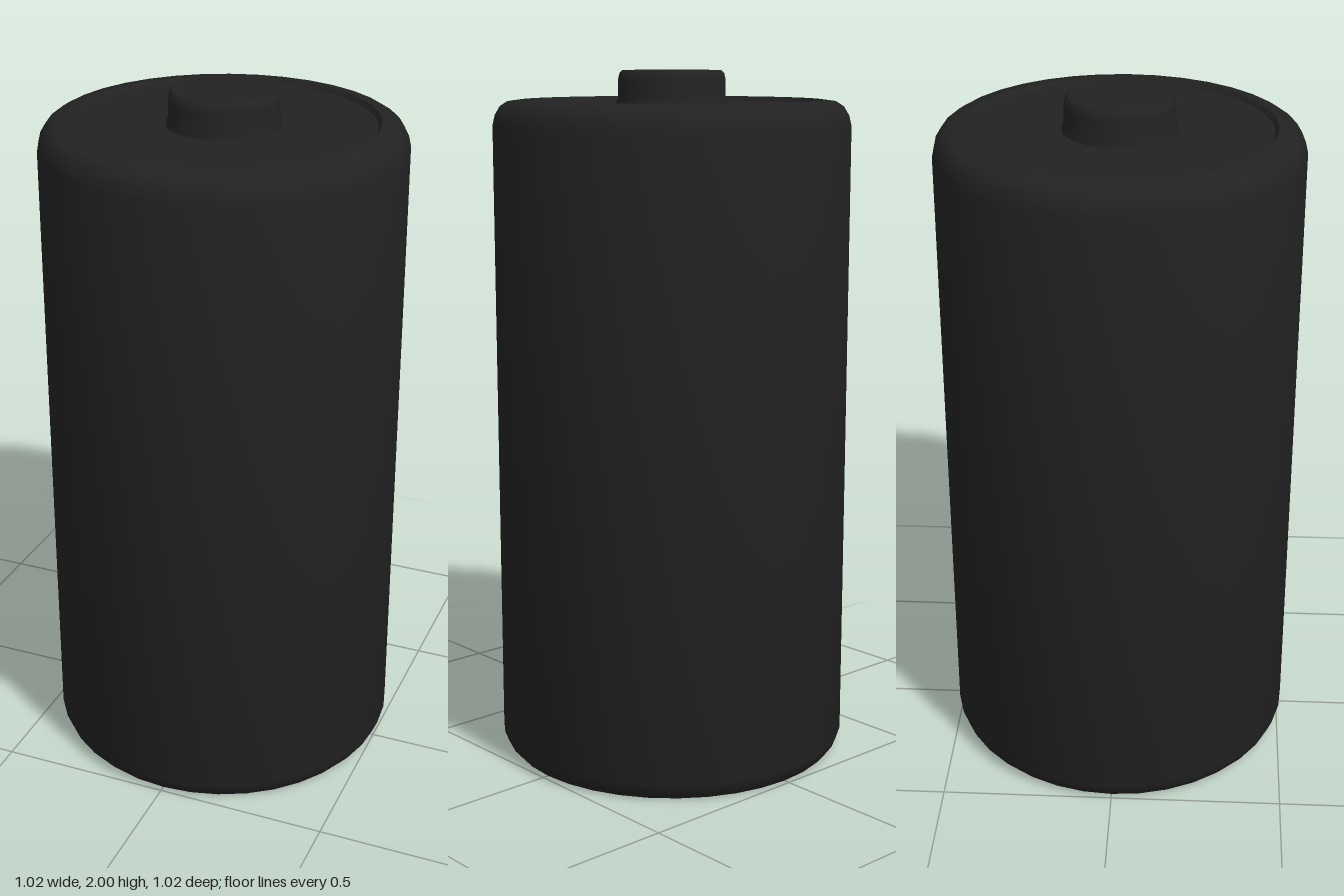
import * as THREE from 'three';
import { toCreasedNormals } from 'three/addons/utils/BufferGeometryUtils.js';

const SIDES = 36;

// Turned part from [radius, height] pairs, with hard edges kept sharp
function turned(name, profile, material) {
  const points = profile.map(([r, y]) => new THREE.Vector2(r, y));
  const geometry = toCreasedNormals(new THREE.LatheGeometry(points, SIDES), 0.6);
  const mesh = new THREE.Mesh(geometry, material);
  mesh.name = name;
  return mesh;
}

export function createModel() {
  const model = new THREE.Group();
  model.name = 'batteryCell';
  const black = new THREE.MeshStandardMaterial({ color: 0x222222 });
  black.name = 'matteBlack';

  // Casing: flat base, small bottom bevel, rounded shoulder and a lip around the recess
  model.add(turned('casing', [
    [0, 0], [0.482, 0], [0.5, 0.02], [0.512, 0.05],
    [0.512, 1.845], [0.505, 1.875], [0.49, 1.9], [0.47, 1.913], [0.432, 1.918],
    [0.422, 1.904],
  ], black));

  // Recessed disc inside the lip
  model.add(turned('topPlate', [[0.422, 1.904], [0.16, 1.904], [0, 1.904]], black));

  // Raised contact button with a bevelled rim
  model.add(turned('contactButton', [
    [0.16, 1.904], [0.153, 1.925], [0.153, 1.975], [0.149, 1.992], [0.141, 2], [0, 2],
  ], black));

  return model;
}
